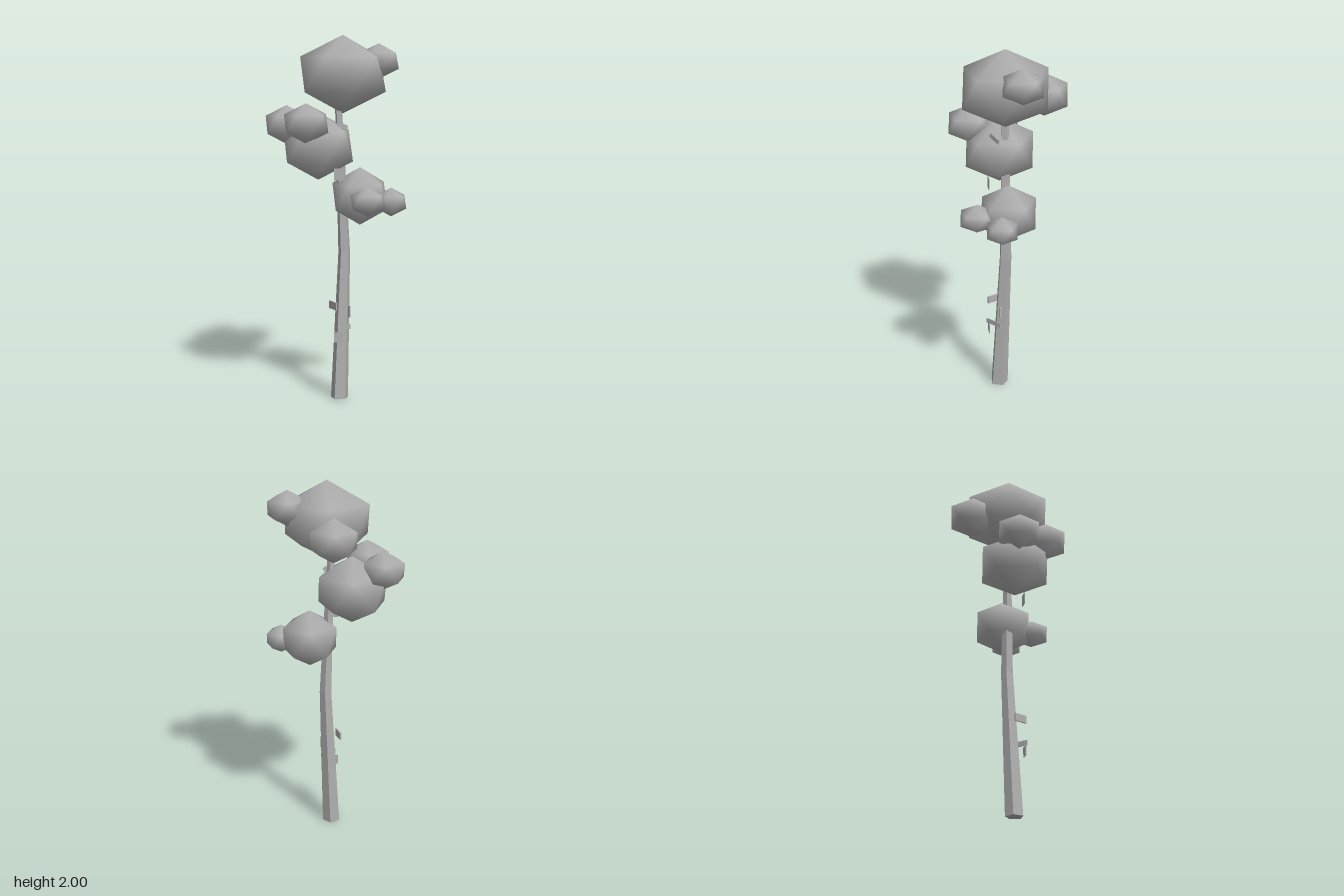
import * as THREE from 'three';

const gray = new THREE.MeshStandardMaterial({ color: 0xb0b0b0 });
gray.name = 'plain gray';

// Twelve-point faceted ball with a vertex at each pole, smooth normals
function foliageGeometry() {
  const h = 1 / Math.sqrt(5), r = 2 * h;
  const pos = [0, 1, 0];
  for (const [y, start] of [[h, 0], [-h, Math.PI / 5]]) {
    for (let i = 0; i < 5; i++) {
      const a = start + (i * 2 * Math.PI) / 5;
      pos.push(r * Math.cos(a), y, r * Math.sin(a));
    }
  }
  pos.push(0, -1, 0);
  const index = [];
  for (let i = 0; i < 5; i++) {
    const j = (i + 1) % 5, u = 1 + i, v = 1 + j, l = 6 + i, m = 6 + j;
    index.push(0, v, u, u, v, l, l, v, m, l, m, 11);
  }
  const g = new THREE.BufferGeometry();
  g.setAttribute('position', new THREE.Float32BufferAttribute(pos, 3));
  g.setIndex(index);
  g.computeVertexNormals();
  return g;
}

// Five-sided trunk lofted through [x, y, z, radius] sections, flat faces
function trunkGeometry(sections) {
  const n = 5, pos = [], index = [];
  for (const [x, y, z, r] of sections) {
    for (let i = 0; i < n; i++) {
      const a = Math.PI * 1.25 + (i * 2 * Math.PI) / n;
      pos.push(x + r * Math.cos(a), y, z + r * Math.sin(a));
    }
  }
  const last = (sections.length - 1) * n;
  for (let s = 0; s < last; s += n) {
    for (let i = 0; i < n; i++) {
      const j = (i + 1) % n;
      index.push(s + n + i, s + n + j, s + i, s + i, s + n + j, s + j);
    }
  }
  for (let i = 1; i < n - 1; i++) {
    index.push(0, i, i + 1, last, last + i + 1, last + i);
  }
  const g = new THREE.BufferGeometry();
  g.setAttribute('position', new THREE.Float32BufferAttribute(pos, 3));
  g.setIndex(index);
  const flat = g.toNonIndexed();
  flat.computeVertexNormals();
  return flat;
}

export function createModel() {
  const model = new THREE.Group();
  model.name = 'tree';
  const add = (name, geometry) => {
    const mesh = new THREE.Mesh(geometry, gray);
    mesh.name = name;
    model.add(mesh);
    return mesh;
  };

  // Bent, tapering trunk
  add('trunk', trunkGeometry([
    [0.003, 0, 0.045, 0.05],
    [0.042, 0.815, 0.028, 0.034],
    [0.01, 1.75, 0.008, 0.017],
  ]));

  // Foliage clumps: name, centre, horizontal radius, vertical radius
  const ball = foliageGeometry();
  const clumps = [
    ['crownFoliage', 0.035, 1.79, 0.022, 0.26, 0.21],
    ['crownSidePuff', 0.243, 1.86, 0.053, 0.122, 0.096],
    ['crownBackPuff', 0.078, 1.73, -0.196, 0.142, 0.118],
    ['middleFoliage', -0.092, 1.405, -0.024, 0.212, 0.185],
    ['middleBackPuff', -0.239, 1.52, -0.112, 0.128, 0.105],
    ['middleFrontPuff', -0.222, 1.535, 0.084, 0.132, 0.107],
    ['lowerFoliage', 0.122, 1.127, 0.06, 0.17, 0.159],
    ['lowerFrontPuff', 0.073, 1.117, 0.226, 0.105, 0.08],
    ['lowerSidePuff', 0.247, 1.1, 0.183, 0.093, 0.079],
  ];
  for (const [name, x, y, z, rh, rv] of clumps) {
    const clump = add(name, ball);
    clump.position.set(x, y, z);
    clump.scale.set(rh, rv, rh);
  }

  // Small bark chips on the trunk: centre, size, turn about y, tilt about z
  const chips = [
    [-0.03, 0.357, 0.09, 0.048, 0.055, 0.004, -0.42, 0],
    [0.008, 0.405, 0.085, 0.1, 0.028, 0.005, 0.3, 0],
    [-0.042, 0.53, 0.052, 0.008, 0.042, 0.075, 0, 0],
    [0.053, 0.487, 0.066, 0.008, 0.065, 0.014, 0, 0],
    [-0.027, 1.255, 0.09, 0.055, 0.065, 0.004, -0.42, 0],
    [0.005, 1.515, 0.072, 0.07, 0.025, 0.005, 0.15, -0.35],
  ];
  for (const [x, y, z, w, h, d, turn, tilt] of chips) {
    const chip = add('barkChip', new THREE.BoxGeometry(w, h, d));
    chip.position.set(x, y, z);
    chip.rotation.set(0, turn, tilt);
  }
  return model;
}
